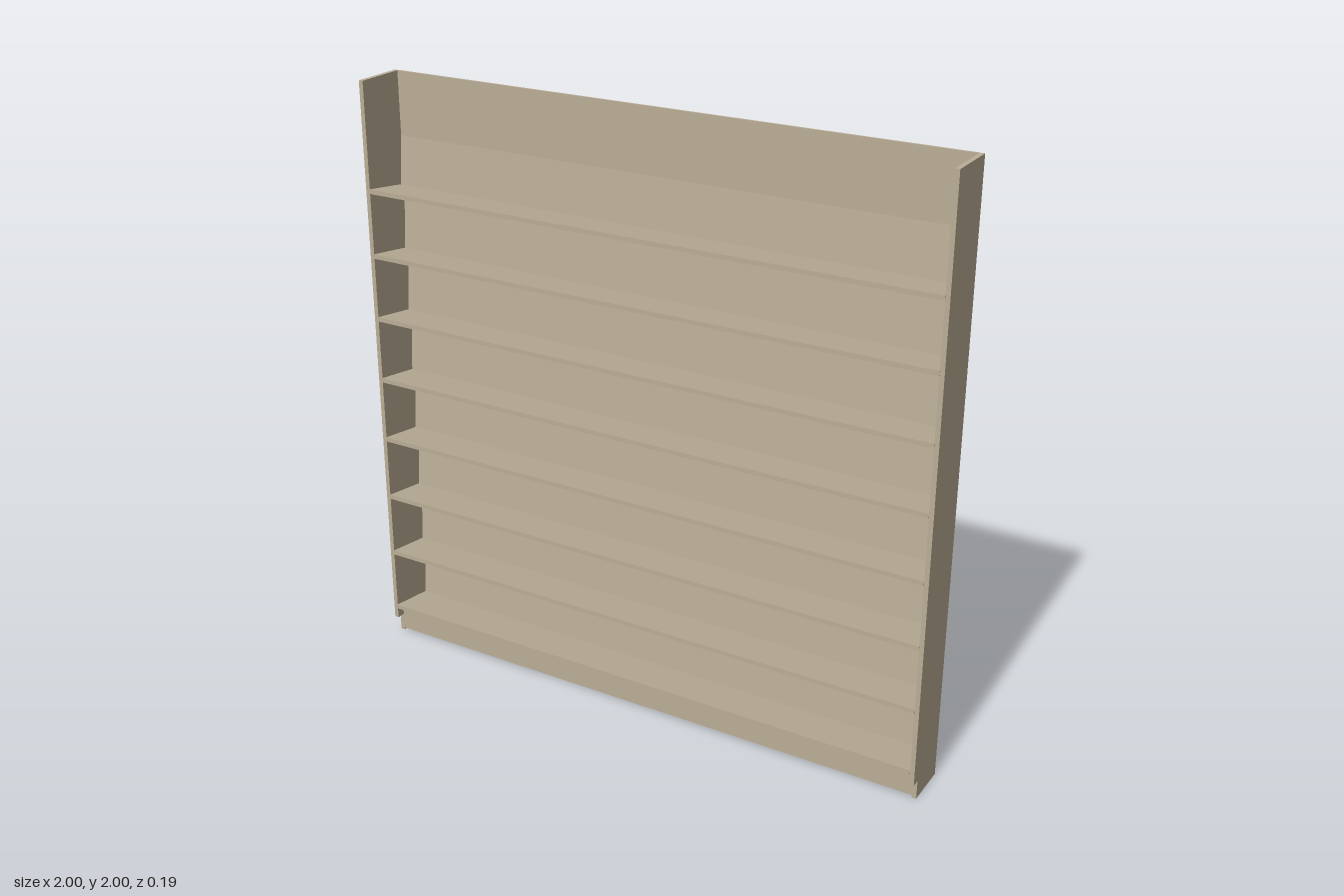
import * as THREE from 'three';

const paint = new THREE.MeshStandardMaterial({ color: 0xbaae96 });
paint.name = 'beige paint';

// Extrudes a (z, y) profile along x, centred on x = 0
function extrudeAlongX(points, width) {
  const shape = new THREE.Shape(points.map(([z, y]) => new THREE.Vector2(z, y)));
  const geometry = new THREE.ExtrudeGeometry(shape, { depth: width, bevelEnabled: false });
  geometry.translate(0, 0, -width / 2);
  geometry.rotateY(-Math.PI / 2);
  return geometry;
}

export function createModel() {
  const group = new THREE.Group();
  group.name = 'wallShelf';

  function add(name, geometry, x = 0, y = 0, z = 0) {
    const mesh = new THREE.Mesh(geometry, paint);
    mesh.name = name;
    mesh.position.set(x, y, z);
    group.add(mesh);
  }

  const inner = 1.97;

  // Side panels with a toe notch at the lower front
  const side = extrudeAlongX(
    [[-0.09, 0], [0.06, 0], [0.06, 0.065], [0.09, 0.065], [0.09, 2], [-0.09, 2]], 0.015);
  add('leftSide', side, 0.9925);
  add('rightSide', side, -0.9925);

  // Thin back panel
  add('backPanel', new THREE.BoxGeometry(inner, 2, 0.008), 0, 1, -0.0885);

  // Kick board closing the toe notch; the base stays open underneath
  add('kickBoard', new THREE.BoxGeometry(inner, 0.075, 0.01), 0, 0.0455, 0.055);

  // Shelves sloping down to the back, each with a leaning back rest
  const shelf = extrudeAlongX(
    [[0.0925, 0], [-0.07, -0.023], [-0.083, 0.138], [-0.085, 0.138], [-0.085, -0.038], [0.0925, -0.015]],
    inner);
  for (let i = 0; i < 8; i++) add('shelf' + (i + 1), shelf, 0, 0.118 + i * 0.2188, 0);

  return group;
}
